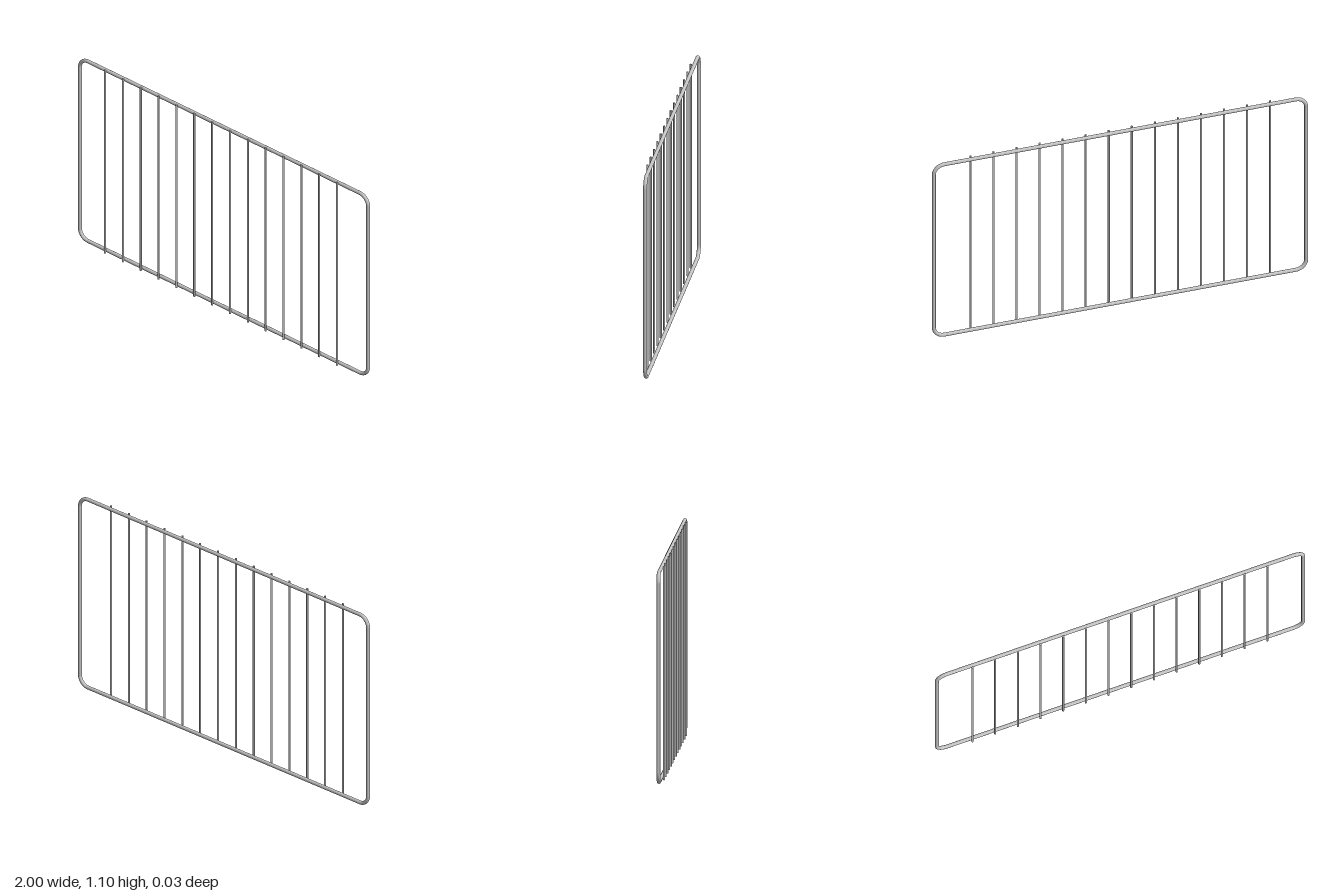
import * as THREE from 'three';

const WIDTH = 2, HEIGHT = 1.096;
const FRAME_R = 0.01, ROD_R = 0.0055, BEND = 0.056;
const FRAME_Z = -0.0055, ROD_Z = 0.01;
const ROD_COUNT = 14, ROD_START = -0.803, ROD_STEP = 0.1226;

export function createModel() {
  const group = new THREE.Group();
  const steel = new THREE.MeshStandardMaterial({ color: 0xc4c4c4 });
  steel.name = 'light steel grey';

  function add(parent, name, geometry, x, y, z, turn = 0) {
    const mesh = new THREE.Mesh(geometry, steel);
    mesh.name = name;
    mesh.position.set(x, y, z);
    mesh.rotation.z = turn;
    parent.add(mesh);
  }

  // Outer frame: four straight tubes joined by quarter-round bends
  const frame = new THREE.Group();
  frame.name = 'frame';
  group.add(frame);
  const hx = WIDTH / 2 - FRAME_R, hy = HEIGHT / 2 - FRAME_R, cy = HEIGHT / 2;
  const rail = new THREE.CylinderGeometry(FRAME_R, FRAME_R, 2 * (hx - BEND), 16, 1, true);
  const post = new THREE.CylinderGeometry(FRAME_R, FRAME_R, 2 * (hy - BEND), 16, 1, true);
  const bend = new THREE.TorusGeometry(BEND, FRAME_R, 16, 12, Math.PI / 2);
  for (const s of [-1, 1]) {
    add(frame, s > 0 ? 'topRail' : 'bottomRail', rail, 0, cy + s * hy, FRAME_Z, Math.PI / 2);
    add(frame, s > 0 ? 'leftPost' : 'rightPost', post, s * hx, cy, FRAME_Z);
  }
  [[1, 1], [-1, 1], [-1, -1], [1, -1]].forEach(([sx, sy], i) =>
    add(frame, 'cornerBend', bend, sx * (hx - BEND), cy + sy * (hy - BEND), FRAME_Z, i * Math.PI / 2));

  // Thin vertical rods fixed to the front of the rails
  const rods = new THREE.Group();
  rods.name = 'rods';
  group.add(rods);
  const rod = new THREE.CylinderGeometry(ROD_R, ROD_R, HEIGHT, 12);
  for (let i = 0; i < ROD_COUNT; i++) {
    add(rods, 'rod', rod, ROD_START + i * ROD_STEP, cy, ROD_Z);
  }
  return group;
}
